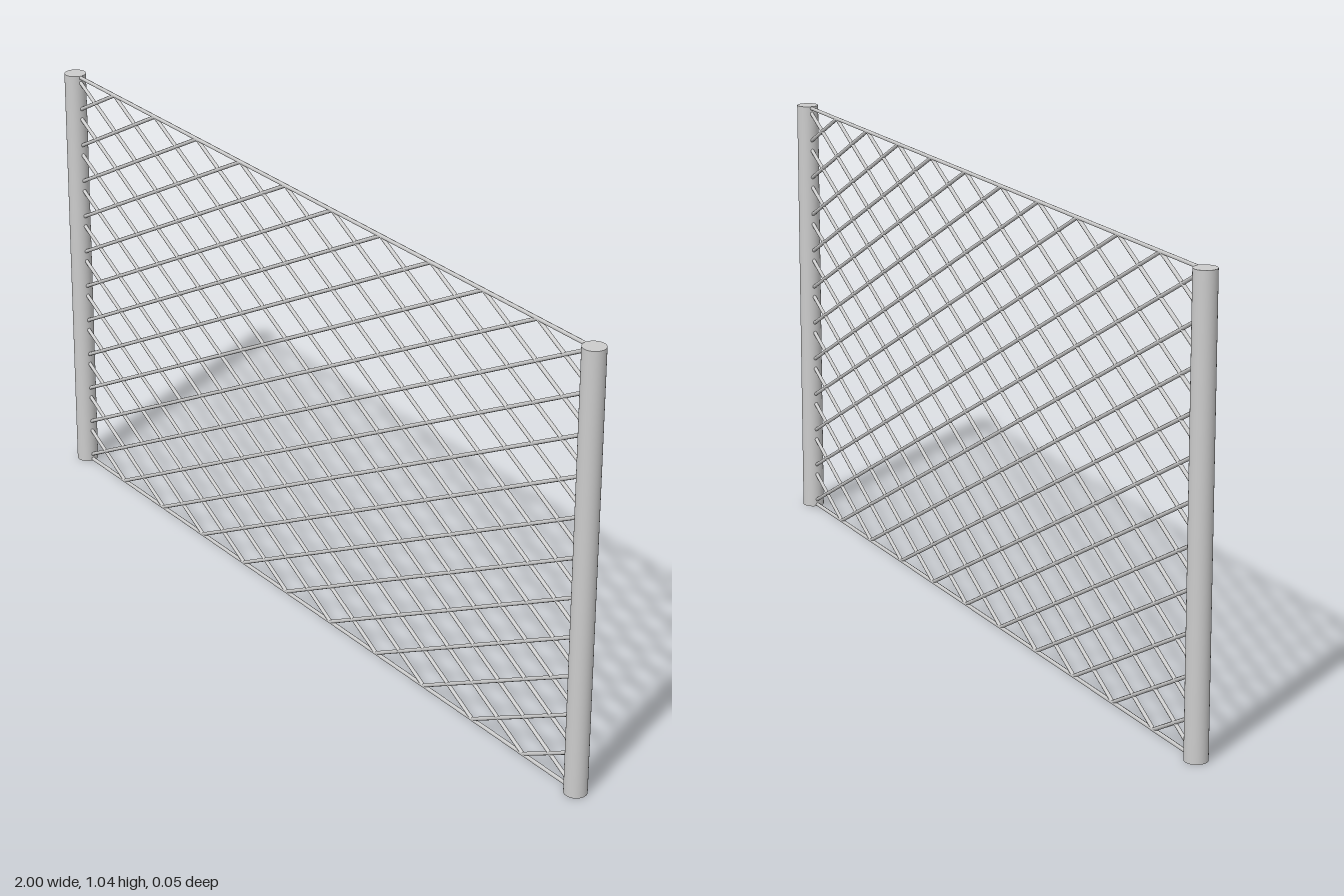
import * as THREE from 'three';

const HEIGHT = 1.04, POST_X = 0.974, POST_R = 0.026, WIRE_R = 0.0045;
const CELLS = 11;

export function createModel() {
  const fence = new THREE.Group();
  fence.name = 'meshFence';
  const material = new THREE.MeshStandardMaterial({ color: 0xcccccc });

  // round bar between two points in the fence plane
  function bar(name, x1, y1, x2, y2, radius, sides) {
    const dx = x2 - x1, dy = y2 - y1;
    const mesh = new THREE.Mesh(
      new THREE.CylinderGeometry(radius, radius, Math.hypot(dx, dy), sides), material);
    mesh.name = name;
    mesh.position.set((x1 + x2) / 2, (y1 + y2) / 2, 0);
    mesh.rotation.z = Math.atan2(-dx, dy);
    return mesh;
  }

  // end posts
  for (const side of [-1, 1]) {
    fence.add(bar(side > 0 ? 'leftPost' : 'rightPost',
      side * POST_X, 0, side * POST_X, HEIGHT, POST_R, 32));
  }

  // top and bottom wires
  const low = WIRE_R, high = HEIGHT - WIRE_R;
  fence.add(bar('topWire', -POST_X, high, POST_X, high, WIRE_R, 8));
  fence.add(bar('bottomWire', -POST_X, low, POST_X, low, WIRE_R, 8));

  // diamond mesh: two mirrored families of slanted wires, cut at the frame
  const mesh = new THREE.Group();
  mesh.name = 'diamondMesh';
  const cell = 2 * POST_X / CELLS;
  const slope = (high - low) / (2 * POST_X);
  for (const side of [-1, 1]) {
    for (let k = 1 - CELLS; k < CELLS; k++) {
      const foot = -POST_X + k * cell;
      const x1 = Math.max(foot, -POST_X);
      const x2 = Math.min(foot + 2 * POST_X, POST_X);
      const y1 = low + slope * (x1 - foot);
      const y2 = low + slope * (x2 - foot);
      mesh.add(bar('meshWire', side * x1, y1, side * x2, y2, WIRE_R, 8));
    }
  }
  fence.add(mesh);
  return fence;
}
